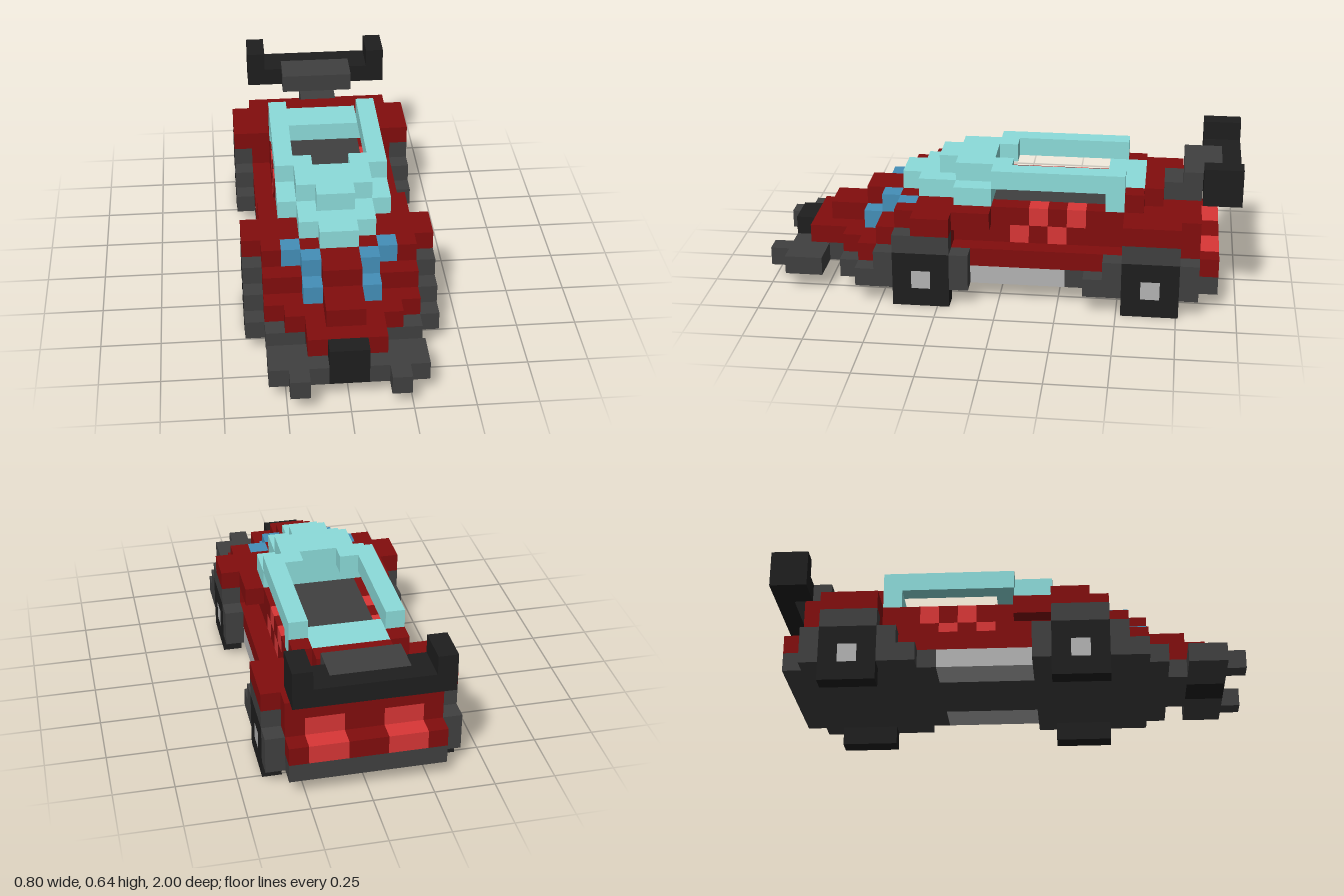
import * as THREE from 'three';

const U = 0.08; // size of one block
const COLORS = {
  red: 0x820d0d, bright: 0xd93636, grey: 0x404040, black: 0x1e1e1e,
  glass: 0x8cdcda, blue: 0x448fb8, metal: 0xb3b3b3,
};

export function createModel() {
  const model = new THREE.Group();
  const mats = {};
  for (const [key, color] of Object.entries(COLORS)) {
    mats[key] = new THREE.MeshStandardMaterial({ color, flatShading: true });
  }

  // Box in block units: x from the centre line, y from the ground, z from the tail
  function box(parent, name, mat, x0, x1, y0, y1, z0, z1) {
    const geo = new THREE.BoxGeometry((x1 - x0) * U, (y1 - y0) * U, (z1 - z0) * U);
    const mesh = new THREE.Mesh(geo, mats[mat]);
    mesh.position.set((x0 + x1) / 2 * U, (y0 + y1) / 2 * U, (z0 + z1) / 2 * U - 1);
    mesh.name = name;
    parent.add(mesh);
  }
  const mid = (g, name, mat, w, y0, y1, z0, z1) => box(g, name, mat, -w, w, y0, y1, z0, z1);
  const pair = (g, name, mat, x0, x1, y0, y1, z0, z1) => {
    box(g, name + 'Left', mat, x0, x1, y0, y1, z0, z1);
    box(g, name + 'Right', mat, -x1, -x0, y0, y1, z0, z1);
  };
  const group = (name) => {
    const g = new THREE.Group();
    g.name = name;
    model.add(g);
    return g;
  };

  // Chassis, sills and front splitter
  const chassis = group('chassis');
  mid(chassis, 'floorPan', 'grey', 3, 1, 2, 14, 21);
  mid(chassis, 'floorPan', 'grey', 2, 1, 2, 21, 22);
  mid(chassis, 'floorPan', 'grey', 3, 1, 2, 1, 9);
  mid(chassis, 'floorPan', 'grey', 2, 1, 2, 9, 14);
  pair(chassis, 'sill', 'metal', 2, 3, 1, 2, 9, 14);
  pair(chassis, 'splitter', 'grey', 1, 4, 1, 2, 22, 24);
  pair(chassis, 'splitterProng', 'grey', 2, 3, 1, 2, 24, 25);
  mid(chassis, 'grille', 'black', 1, 1, 2, 22, 24);
  mid(chassis, 'grille', 'black', 1, 2, 3, 23, 24);

  // Lower body
  const body = group('body');
  mid(body, 'lowerBody', 'red', 4, 2, 3, 2, 20);
  mid(body, 'noseStep', 'red', 3, 2, 3, 20, 21);
  mid(body, 'nose', 'red', 2, 2, 3, 21, 23);

  // Hood, stepping down to the nose, with two stripes
  mid(body, 'hoodLower', 'red', 4, 3, 4, 15, 19);
  mid(body, 'hoodNose', 'red', 1, 3, 4, 19, 22);
  pair(body, 'stripeLow', 'blue', 1, 2, 3, 4, 19, 20);
  mid(body, 'hoodTop', 'red', 4, 4, 5, 13, 17);
  mid(body, 'hoodCentre', 'red', 2, 4, 5, 17, 18);
  pair(body, 'stripeHigh', 'blue', 2, 3, 4, 5, 17, 18);
  pair(body, 'hoodShoulder', 'red', 3, 4, 4, 5, 17, 18);
  pair(body, 'stripeMiddle', 'blue', 1, 2, 4, 5, 18, 19);
  mid(body, 'hoodRidge', 'red', 1, 4, 5, 18, 20);

  // Doors with a checker pattern
  const doors = group('doors');
  for (const y of [3, 4]) {
    for (let z = 6; z < 15; z++) {
      if (y === 4 && z > 12) continue;
      const bright = z >= 8 && z <= 11 && (y + z) % 2 === 0;
      pair(doors, 'doorPanel', bright ? 'bright' : 'red', 2, 3, y, y + 1, z, z + 1);
    }
  }
  mid(doors, 'cabinFloor', 'grey', 2, 3, 5, 6, 13);

  // Rear deck and tail lights
  const rear = group('rear');
  mid(rear, 'rearDeck', 'red', 4, 3, 5, 3, 6);
  mid(rear, 'tailTop', 'red', 4, 4, 5, 2, 3);
  mid(rear, 'tailCentre', 'red', 1, 3, 4, 2, 3);
  pair(rear, 'tailLightHigh', 'bright', 1, 3, 3, 4, 2, 3);
  pair(rear, 'tailCorner', 'red', 3, 4, 3, 4, 2, 3);
  mid(rear, 'bumperCentre', 'red', 1, 2, 3, 1, 2);
  pair(rear, 'tailLightLow', 'bright', 1, 3, 2, 3, 1, 2);
  pair(rear, 'bumperCorner', 'red', 3, 4, 2, 3, 1, 2);
  pair(rear, 'windowFrame', 'red', 2, 3, 5, 6, 5, 6);
  mid(rear, 'engineCover', 'red', 2, 5, 6, 4, 5);

  // Cabin glass and roof rails
  const cabin = group('cabin');
  mid(cabin, 'windscreenLow', 'glass', 3, 5, 6, 13, 15);
  mid(cabin, 'windscreenLow', 'glass', 2, 5, 6, 15, 17);
  mid(cabin, 'windscreenTip', 'glass', 1, 5, 6, 17, 18);
  pair(cabin, 'roofRail', 'glass', 2, 3, 6, 7, 6, 13);
  pair(cabin, 'railSupport', 'glass', 2, 3, 5, 6, 6, 7);
  mid(cabin, 'rearWindow', 'glass', 2, 5, 6, 5, 7);
  pair(cabin, 'roofCorner', 'glass', 1, 2, 6, 7, 12, 13);
  mid(cabin, 'roofFront', 'glass', 2, 6, 7, 13, 15);
  mid(cabin, 'roofTip', 'glass', 1, 6, 7, 15, 16);

  // Fenders
  const fenders = group('fenders');
  pair(fenders, 'frontFenderTop', 'red', 4, 5, 4, 5, 15, 17);
  pair(fenders, 'frontArch', 'grey', 4, 5, 3, 4, 15, 18);
  pair(fenders, 'frontArchStep', 'grey', 4, 5, 1, 3, 18, 19);
  pair(fenders, 'frontArchFoot', 'grey', 3, 5, 1, 2, 19, 20);
  pair(fenders, 'frontArchRear', 'grey', 4, 5, 1, 3, 14, 15);
  pair(fenders, 'rearFenderTop', 'red', 4, 5, 4, 5, 3, 6);
  pair(fenders, 'rearArch', 'grey', 4, 5, 3, 4, 3, 6);
  pair(fenders, 'rearArchFront', 'grey', 4, 5, 1, 3, 6, 7);
  pair(fenders, 'rearArchFoot', 'grey', 4, 5, 1, 2, 7, 8);
  pair(fenders, 'rearArchBack', 'grey', 4, 5, 1, 3, 2, 3);
  // Outer edges of the floor
  pair(fenders, 'floorEdge', 'grey', 3, 4, 1, 2, 1, 9);
  pair(fenders, 'floorEdge', 'grey', 3, 4, 1, 2, 14, 21);
  pair(fenders, 'sillEdge', 'metal', 3, 4, 1, 2, 9, 14);

  // Wheels: square tyre around a hub
  for (const [name, z] of [['rearWheel', 3], ['frontWheel', 15]]) {
    const wheel = group(name + 's');
    for (let i = 0; i < 9; i++) {
      const y = Math.floor(i / 3), dz = i % 3;
      const part = i === 4 ? 'Hub' : 'Tyre';
      pair(wheel, name + part, i === 4 ? 'metal' : 'black', 4, 5, y, y + 1, z + dz, z + dz + 1);
    }
  }

  // Rear wing on its strut
  const wing = group('wing');
  mid(wing, 'wingStrut', 'grey', 1, 5, 6, 2, 4);
  mid(wing, 'wingMount', 'grey', 2, 6, 7, 1, 3);
  mid(wing, 'wingBlade', 'black', 3, 6, 7, 0, 1);
  pair(wing, 'wingShoulder', 'black', 2, 3, 6, 7, 1, 2);
  pair(wing, 'wingEndPlate', 'black', 3, 4, 6, 8, 0, 2);

  return model;
}
